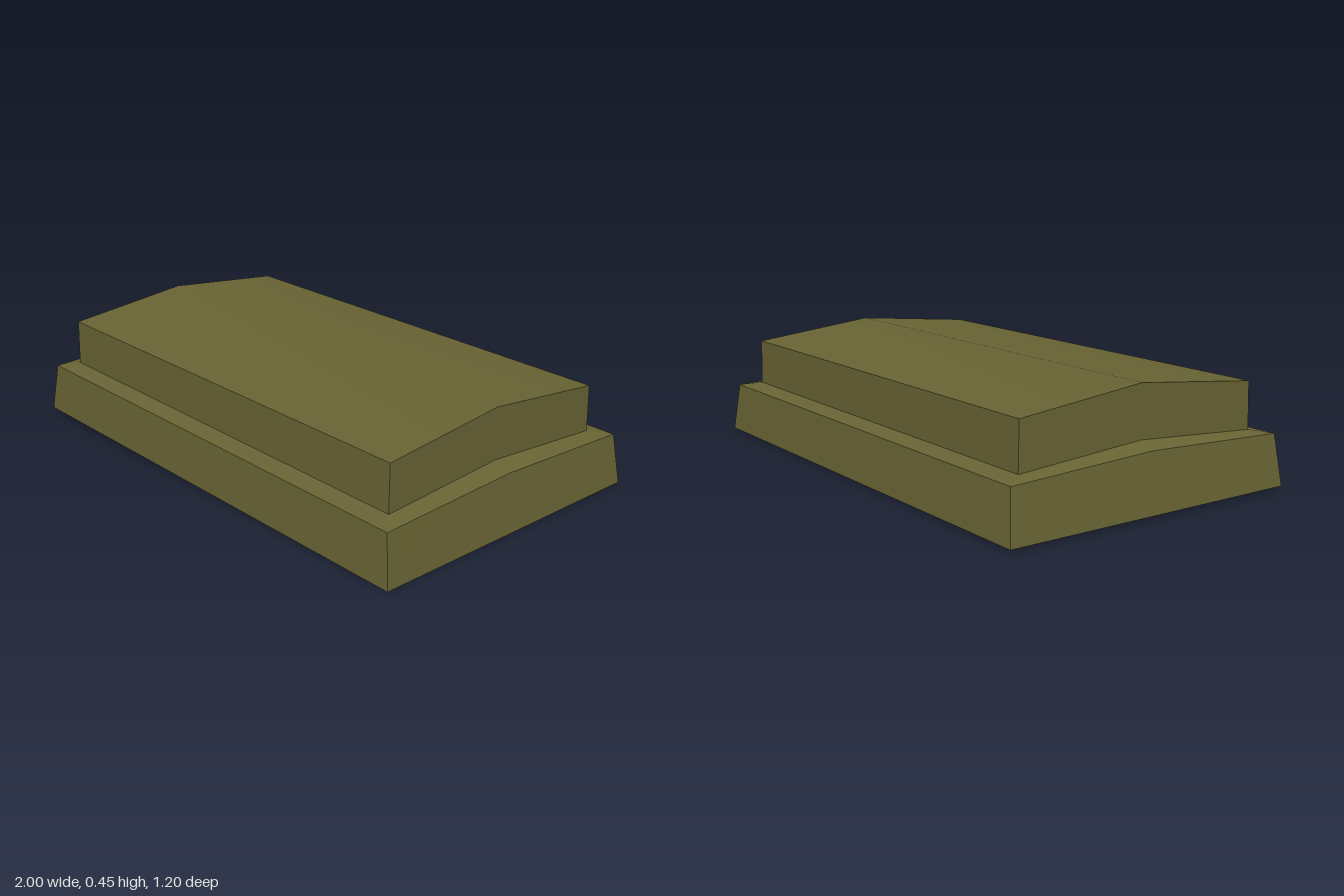
import * as THREE from 'three';

// Outline of one level: half width, half depth, edge height, ridge height
const LEVELS = {
  foot: [1, 0.6, 0.007, 0.007],
  skirtTop: [0.973, 0.58, 0.198, 0.222],
  step: [0.91, 0.508, 0.211, 0.247],
  eaves: [0.908, 0.504, 0.388, 0.441],
};

// Six points per level; the whole shell leans very slightly
function ring([w, d, edge, ridge]) {
  return [[1, 1], [1, 0], [1, -1], [-1, -1], [-1, 0], [-1, 1]].map(([sx, sz]) => {
    const x = sx * w - (w < 0.95 ? 0.004 : 0);
    const z = sz * d;
    return [x, (sz === 0 ? ridge : edge) - 0.005 * x + 0.003 * z, z];
  });
}

// Smooth strip between two rows of points
function strip(lower, upper) {
  const n = lower.length;
  const index = [];
  for (let i = 0; i < n - 1; i++) {
    index.push(i, i + 1, n + i + 1, i, n + i + 1, n + i);
  }
  const geometry = new THREE.BufferGeometry();
  geometry.setAttribute('position', new THREE.Float32BufferAttribute([...lower, ...upper].flat(), 3));
  geometry.setIndex(index);
  geometry.computeVertexNormals();
  return geometry;
}

export function createModel() {
  const model = new THREE.Group();
  model.name = 'steppedCover';
  const olive = new THREE.MeshStandardMaterial({ color: 0x686434, side: THREE.DoubleSide });
  olive.name = 'olive';

  const sides = { Left: [0, 1, 2], Back: [2, 3], Right: [3, 4, 5], Front: [5, 0] };

  // Four separate sides per band keep the corners sharp
  function addBand(name, from, to) {
    const group = new THREE.Group();
    group.name = name;
    const a = ring(from);
    const b = ring(to);
    for (const [side, ids] of Object.entries(sides)) {
      const mesh = new THREE.Mesh(strip(ids.map(i => a[i]), ids.map(i => b[i])), olive);
      mesh.name = name + side;
      group.add(mesh);
    }
    model.add(group);
  }

  addBand('skirt', LEVELS.foot, LEVELS.skirtTop);
  addBand('shoulder', LEVELS.skirtTop, LEVELS.step);
  addBand('upperWall', LEVELS.step, LEVELS.eaves);

  // Shallow pitched roof, underside left open
  const e = ring(LEVELS.eaves);
  const roof = new THREE.Mesh(strip([e[0], e[1], e[2]], [e[5], e[4], e[3]]), olive);
  roof.name = 'roof';
  model.add(roof);

  return model;
}
